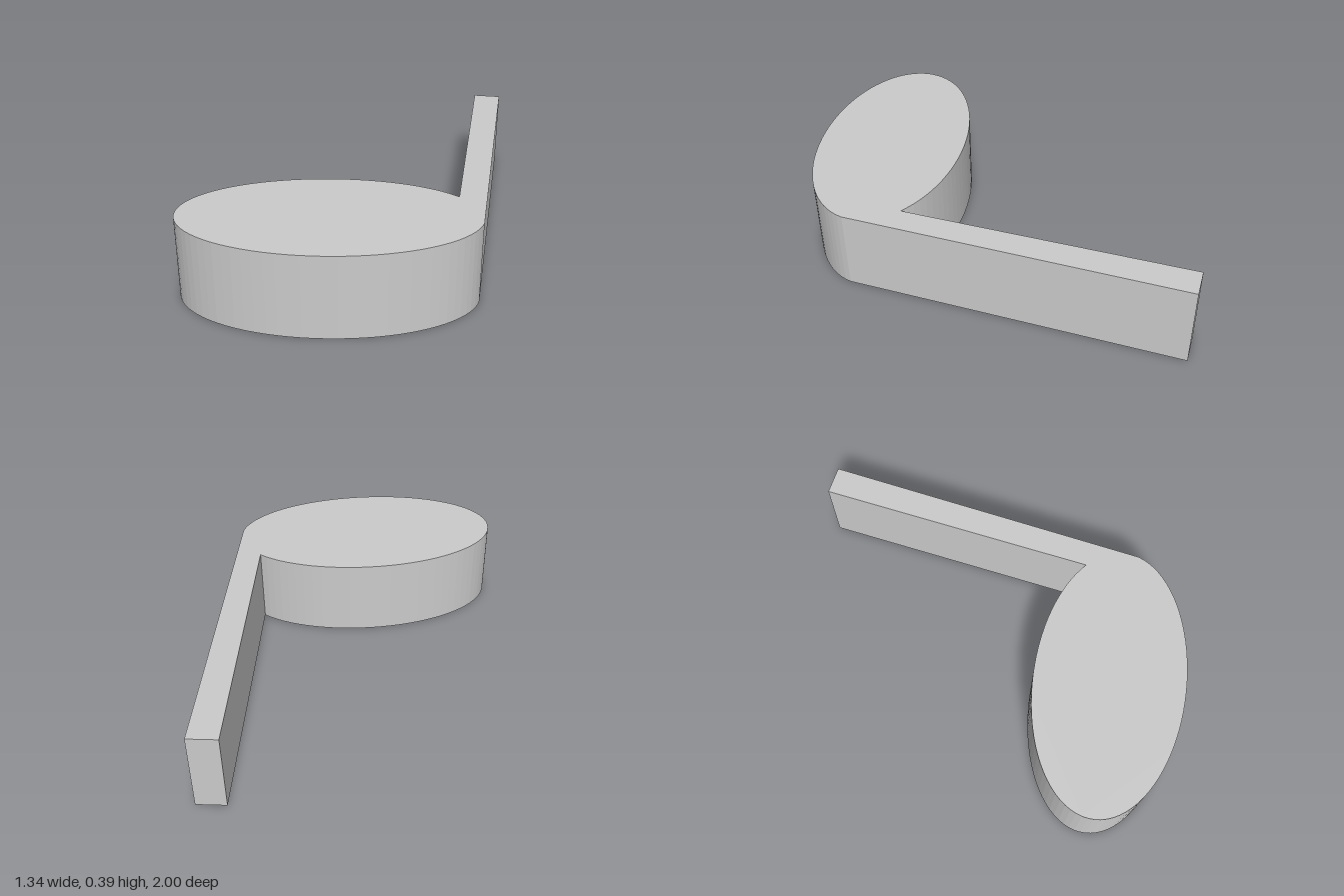
import * as THREE from 'three';

export function createModel() {
  const group = new THREE.Group();
  const height = 0.39;

  // Outline in plan (shape y = -z): tilted oval head running into a straight stem
  const outline = new THREE.Shape();
  outline.moveTo(0.67, 1);
  outline.lineTo(0.53, 1);
  outline.lineTo(0.53, -0.364);
  outline.absellipse(-0.01, -0.63, 0.669, 0.362, 0.546, Math.PI * 2 - 0.174, false, 0.14);
  outline.closePath();

  // Extrude upwards from the ground
  const geometry = new THREE.ExtrudeGeometry(outline, {
    depth: height, bevelEnabled: false, curveSegments: 36,
  });
  geometry.rotateX(-Math.PI / 2);

  const note = new THREE.Mesh(geometry, new THREE.MeshStandardMaterial({ color: 0xcccccc }));
  note.name = 'musicalNote';
  group.add(note);
  return group;
}
